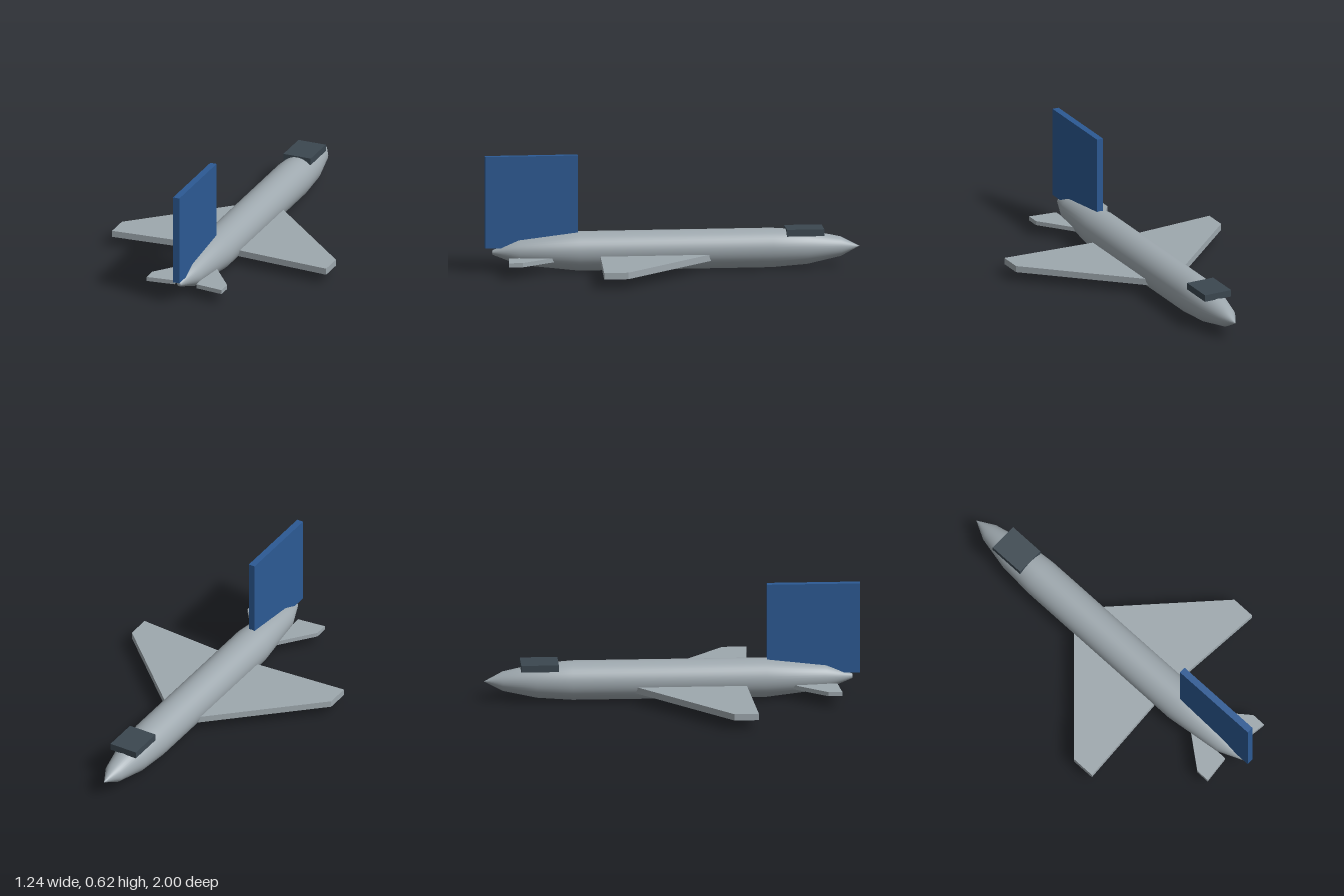
import * as THREE from 'three';

const grey = new THREE.MeshStandardMaterial({ color: 0x9ea8ae });
grey.name = 'airframe grey';
const blue = new THREE.MeshStandardMaterial({ color: 0x2c5a94 });
blue.name = 'fin blue';
const dark = new THREE.MeshStandardMaterial({ color: 0x3b4750 });
dark.name = 'canopy dark';

function add(group, name, geometry, material) {
  const mesh = new THREE.Mesh(geometry, material);
  mesh.name = name;
  group.add(mesh);
  return mesh;
}

// Box given by its lower and upper corners
function box(x0, x1, y0, y1, z0, z1) {
  return new THREE.BoxGeometry(x1 - x0, y1 - y0, z1 - z0)
    .translate((x0 + x1) / 2, (y0 + y1) / 2, (z0 + z1) / 2);
}

// Flat slab from a plan outline of [x, z] points, between heights y0 and y1
function slab(outline, side, y0, y1) {
  const shape = new THREE.Shape(outline.map(([x, z]) => new THREE.Vector2(side * x, z)));
  return new THREE.ExtrudeGeometry(shape, { depth: y1 - y0, bevelEnabled: false })
    .rotateX(Math.PI / 2)
    .translate(0, y1, 0);
}

export function createModel() {
  const plane = new THREE.Group();
  plane.name = 'jetPlane';

  // Round fuselage, pointed nose towards -z, tapered tail towards +z
  const profile = [
    [0, -1], [0.052, -0.9], [0.091, -0.72], [0.105, -0.53],
    [0.105, 0.5], [0.068, 0.82], [0.012, 0.96], [0, 0.96],
  ].map(([r, z]) => new THREE.Vector2(r, z));
  const body = new THREE.LatheGeometry(profile, 40).rotateX(Math.PI / 2).translate(0, 0.106, 0);
  add(plane, 'fuselage', body, grey);

  // Swept wings and tailplanes, mirrored
  const wing = [[0.05, -0.237], [0.62, 0.3], [0.62, 0.43], [0.05, 0.39]];
  const tail = [[0.063, 0.622], [0.217, 0.82], [0.217, 0.895], [0.063, 0.877]];
  for (const [side, label] of [[1, 'left'], [-1, 'right']]) {
    add(plane, label + 'Wing', slab(wing, side, 0.055, 0.09), grey);
    add(plane, label + 'Tailplane', slab(tail, side, 0.06, 0.083), grey);
  }

  // Upright fin and cockpit canopy
  add(plane, 'tailFin', box(-0.018, 0.018, 0.13, 0.623, 0.505, 1), blue);
  add(plane, 'canopy', box(-0.079, 0.079, 0.175, 0.212, -0.805, -0.605), dark);

  return plane;
}
